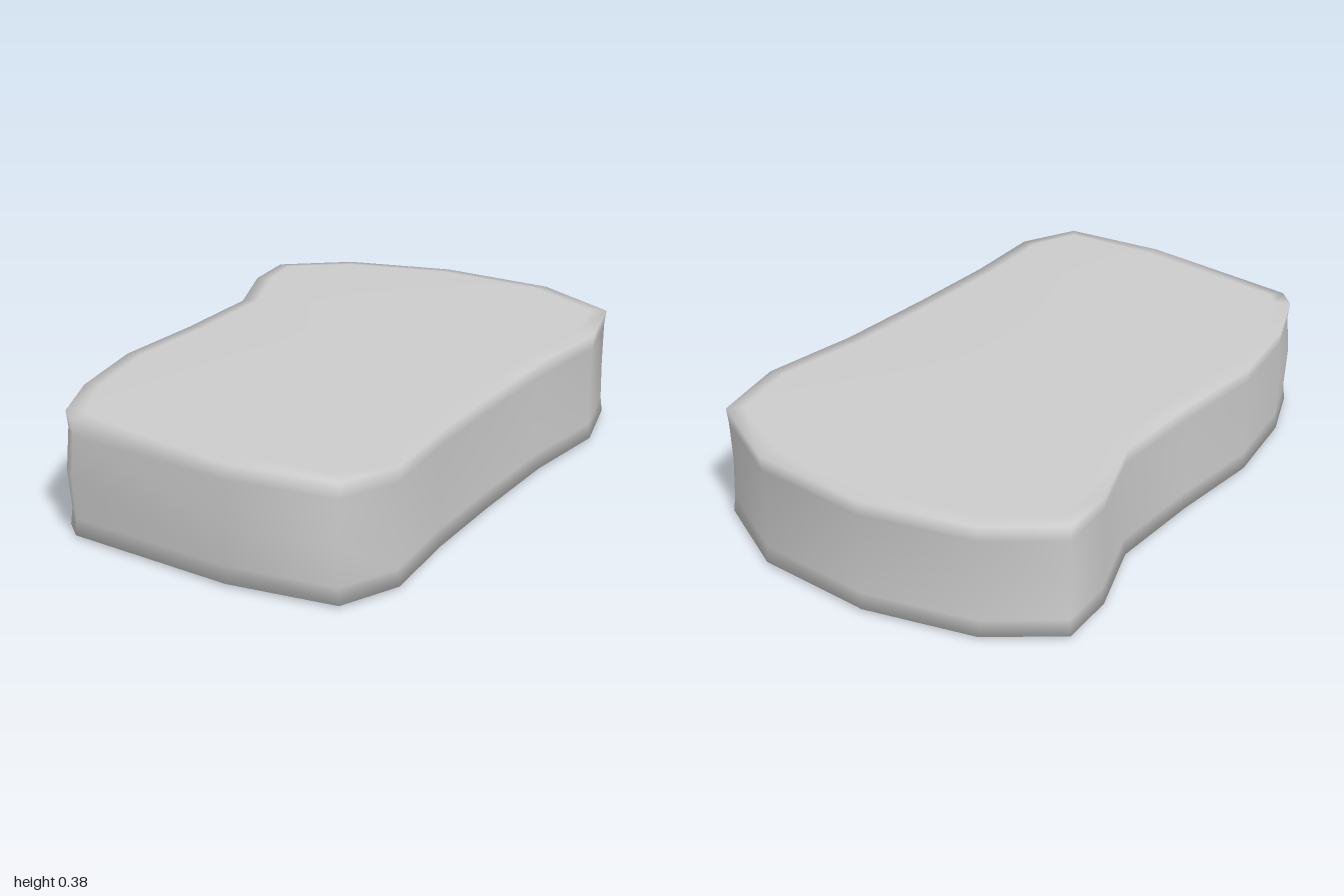
import * as THREE from 'three';

// Plan outline (x, z), running left - back - right - front
const OUTLINE = [
  [-0.985, -0.24], [-0.93, -0.31], [-0.73, -0.42], [-0.43, -0.51], [-0.1, -0.53],
  [0.24, -0.57], [0.49, -0.7], [0.68, -0.74], [0.86, -0.55], [0.985, -0.2],
  [1, 0.2], [0.87, 0.51], [0.61, 0.605], [0.27, 0.605], [-0.1, 0.64],
  [-0.43, 0.68], [-0.72, 0.735], [-0.92, 0.67], [-0.99, 0.33],
].map(([x, z]) => new THREE.Vector2(x, z));

// Rings from top to bottom: inset from the outline, height, sideways shift
const RINGS = [
  [0.055, 0.376, 0], [0, 0.37, 0], [0.006, 0.32, 0], [0.003, 0.19, -0.01],
  [0.006, 0.06, 0], [0, 0.008, 0], [0.055, 0.003, 0],
];

// Moves each corner inward along the mean normal of its two edges
function insetLoop(points, distance) {
  const n = points.length;
  return points.map((p, i) => {
    const a = points[(i + n - 1) % n], b = points[(i + 1) % n];
    const u = p.clone().sub(a).normalize(), v = b.clone().sub(p).normalize();
    const t = u.add(v).normalize();
    return new THREE.Vector2(p.x - t.y * distance, p.y + t.x * distance);
  });
}

function slabGeometry() {
  const n = OUTLINE.length, positions = [], index = [];
  for (const [inset, y, shift] of RINGS) {
    for (const p of insetLoop(OUTLINE, inset)) positions.push(p.x + shift, y, p.y);
  }
  // Slightly domed top and bottom centres
  const top = RINGS.length * n, bottom = top + 1, last = (RINGS.length - 1) * n;
  positions.push(0, 0.38, 0, 0, 0, 0);

  for (let i = 0; i < n; i++) {
    const j = (i + 1) % n;
    index.push(top, j, i, bottom, last + i, last + j);
    for (let r = 0; r < last; r += n) {
      index.push(r + i, r + j, r + n + i, r + j, r + n + j, r + n + i);
    }
  }
  const geometry = new THREE.BufferGeometry();
  geometry.setAttribute('position', new THREE.Float32BufferAttribute(positions, 3));
  geometry.setIndex(index);
  geometry.computeVertexNormals();
  return geometry;
}

export function createModel() {
  const group = new THREE.Group();
  group.name = 'stoneSlab';
  const slab = new THREE.Mesh(slabGeometry(), new THREE.MeshStandardMaterial({ color: 0xcccccc }));
  slab.name = 'slab';
  group.add(slab);
  return group;
}
